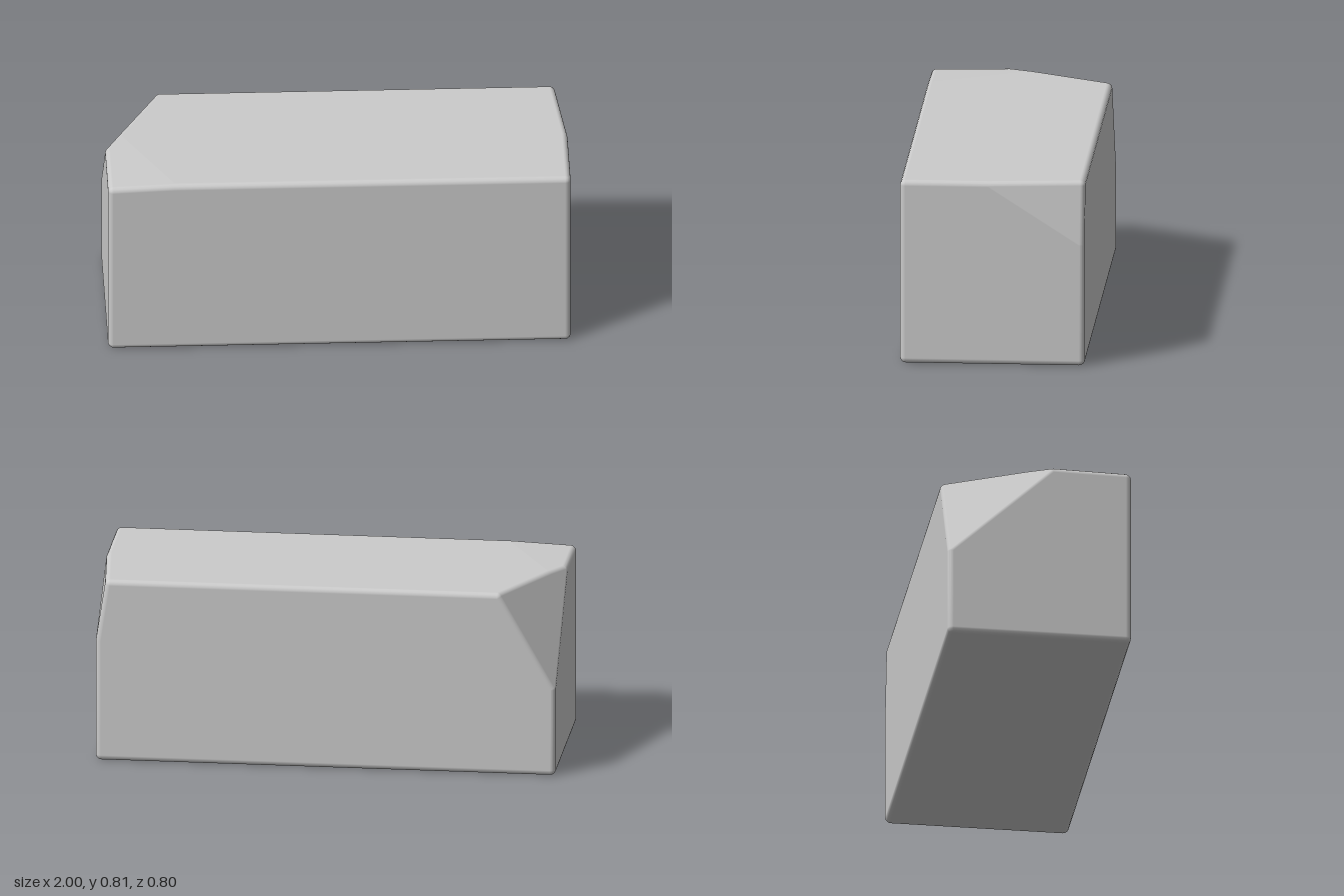
import * as THREE from 'three';
import { ConvexGeometry } from 'three/addons/geometries/ConvexGeometry.js';

const X = 1, H = 0.815, Z = 0.4, R = 0.024, STEPS = 4;
const v = (x, y, z) => new THREE.Vector3(x, y, z);
const plane = (n, p) => new THREE.Plane().setFromNormalAndCoplanarPoint(n.normalize(), p);

// Plane slicing off a top corner; dx, dy, dz are the lengths removed along its three edges
function cornerCut(sx, sz, dx, dy, dz) {
  return plane(v(sx / dx, 1 / dy, sz / dz), v(sx * (X - dx), H, sz * Z));
}

// Corner shared by three planes, or null when they do not meet in a point
function meet(a, b, c) {
  const bc = b.normal.clone().cross(c.normal);
  const det = a.normal.dot(bc);
  if (Math.abs(det) < 1e-4) return null;
  return bc.multiplyScalar(-a.constant)
    .addScaledVector(c.normal.clone().cross(a.normal), -b.constant)
    .addScaledVector(a.normal.clone().cross(b.normal), -c.constant)
    .divideScalar(det);
}

// Convex solid bounded by planes, with all edges rounded by radius r
function roundedSolid(planes, r) {
  const inner = planes.map((p) => new THREE.Plane(p.normal.clone(), p.constant + r));
  const points = [], normals = [];
  for (let i = 0; i < inner.length; i++)
    for (let j = i + 1; j < inner.length; j++)
      for (let k = j + 1; k < inner.length; k++) {
        const corner = meet(inner[i], inner[j], inner[k]);
        if (!corner || inner.some((p) => p.distanceToPoint(corner) > 1e-6)) continue;
        // Spherical patch spanning the three face directions
        for (let a = 0; a <= STEPS; a++)
          for (let b = 0; b <= STEPS - a; b++) {
            const n = v(0, 0, 0)
              .addScaledVector(inner[i].normal, a)
              .addScaledVector(inner[j].normal, b)
              .addScaledVector(inner[k].normal, STEPS - a - b)
              .normalize();
            normals.push(n);
            points.push(corner.clone().addScaledVector(n, r));
          }
      }
  const geometry = new ConvexGeometry(points);
  // Each point keeps its patch direction as its smooth normal
  const pos = geometry.attributes.position, nor = geometry.attributes.normal;
  const p = v(0, 0, 0);
  for (let i = 0; i < pos.count; i++) {
    p.fromBufferAttribute(pos, i);
    let best = 0, bestD = Infinity;
    points.forEach((q, k) => {
      const d = q.distanceToSquared(p);
      if (d < bestD) { bestD = d; best = k; }
    });
    nor.setXYZ(i, normals[best].x, normals[best].y, normals[best].z);
  }
  return geometry;
}

export function createModel() {
  const group = new THREE.Group();
  group.name = 'stoneBlock';
  const planes = [
    // Six sides of the block
    plane(v(1, 0, 0), v(X, 0, 0)), plane(v(-1, 0, 0), v(-X, 0, 0)),
    plane(v(0, 1, 0), v(0, H, 0)), plane(v(0, -1, 0), v(0, 0, 0)),
    plane(v(0, 0, 1), v(0, 0, Z)), plane(v(0, 0, -1), v(0, 0, -Z)),
    // Large chip at the back right, shallow chips at the back left and front right
    cornerCut(-1, -1, 0.25, 0.44, 0.48),
    cornerCut(1, -1, 0.045, 0.29, 0.45),
    cornerCut(-1, 1, 0.3, 0.012, 0.58),
  ];
  const block = new THREE.Mesh(
    roundedSolid(planes, R),
    new THREE.MeshStandardMaterial({ color: 0xcccccc })
  );
  block.name = 'chippedBlock';
  group.add(block);
  return group;
}
